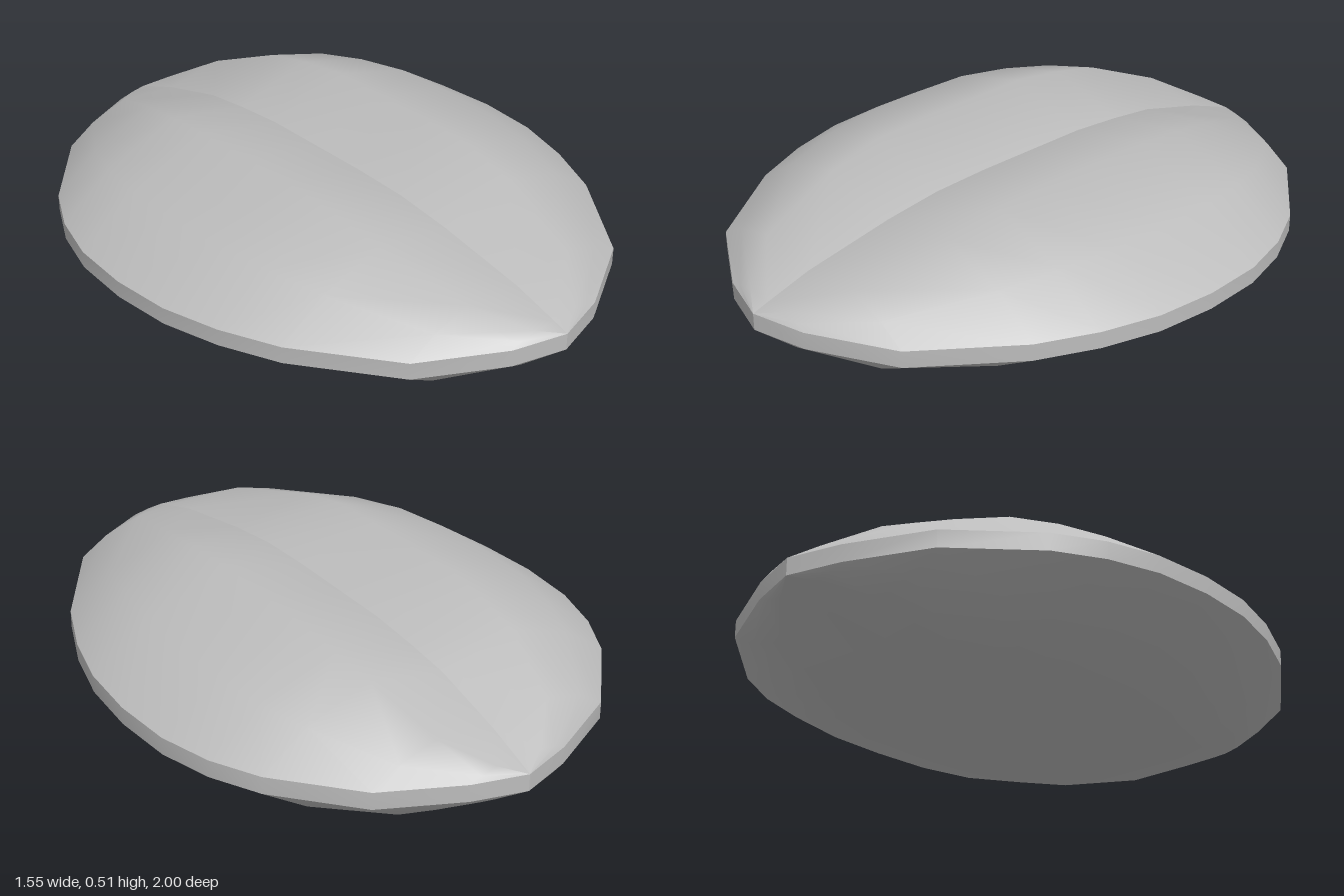
import * as THREE from 'three';

// Stations along the length: [z, half width, ridge x, ridge height]
const stations = [
  [-1, 0, 0, 0], [-0.95, 0.17, 0.08, 0.028], [-0.83, 0.42, 0.2, 0.092],
  [-0.6, 0.63, 0.26, 0.182], [-0.45, 0.71, 0.275, 0.208], [-0.28, 0.76, 0.285, 0.227],
  [-0.08, 0.775, 0.28, 0.226], [0.12, 0.76, 0.28, 0.225], [0.31, 0.71, 0.28, 0.214],
  [0.5, 0.63, 0.265, 0.177], [0.8, 0.42, 0.2, 0.092], [0.95, 0.17, 0.08, 0.024], [1, 0, 0, 0],
];

// The rim band rises slightly towards the front
const rimTop = (z) => 0.278 + 0.032 * z;
const rimBottom = (z) => 0.222 + 0.032 * z;

// Joins one cross-section per station into a smooth surface
function loft(section, flip) {
  const rows = stations.map((s) => section(...s));
  const n = rows[0].length;
  const index = [];
  for (let i = 0; i < rows.length - 1; i++) {
    for (let j = 0; j < n - 1; j++) {
      const a = i * n + j, b = a + 1, c = a + n, d = c + 1;
      if (flip) index.push(a, b, c, b, d, c);
      else index.push(a, c, b, b, c, d);
    }
  }
  const geometry = new THREE.BufferGeometry();
  geometry.setAttribute('position', new THREE.Float32BufferAttribute(rows.flat(2), 3));
  geometry.setIndex(index);
  geometry.computeVertexNormals();
  return geometry;
}

// Half of a shell: centre groove, rounded ridge, shoulder, rim
function shellHalf(side, up) {
  const depth = up > 0 ? 1 : 0.94;
  return loft((z, w, ridge, h) => {
    const base = up > 0 ? rimTop(z) : rimBottom(z);
    const profile = [[0, 0.69], [ridge, 1], [ridge + (w - ridge) * 0.59, 0.59], [w, 0]];
    return profile.map(([x, k]) => [side * x, base + up * depth * h * k, z]);
  }, side * up < 0);
}

// Half of the upright band around the edge
function rimHalf(side) {
  return loft((z, w) => [[side * w, rimTop(z), z], [side * w, rimBottom(z), z]], side < 0);
}

export function createModel() {
  const grey = new THREE.MeshStandardMaterial({ color: 0xbcbcbc });
  grey.name = 'grey';
  const model = new THREE.Group();
  model.name = 'groovedPebble';

  const add = (name, geometry) => {
    const mesh = new THREE.Mesh(geometry, grey);
    mesh.name = name;
    model.add(mesh);
  };

  // Separate halves keep the centre groove crisp
  for (const [label, side] of [['left', 1], ['right', -1]]) {
    add(label + 'UpperShell', shellHalf(side, 1));
    add(label + 'LowerShell', shellHalf(side, -1));
    add(label + 'Rim', rimHalf(side));
  }
  return model;
}
